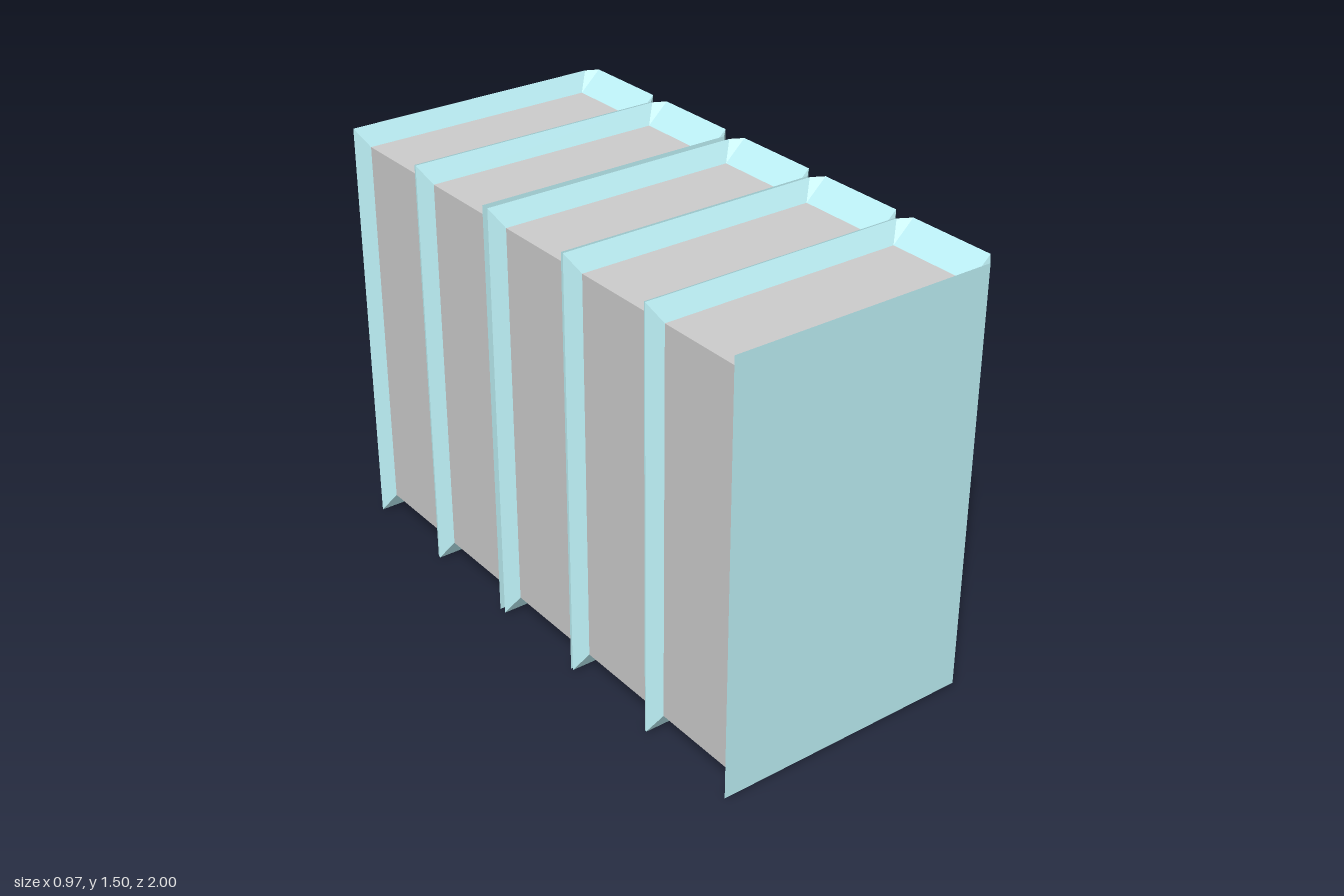
import * as THREE from 'three';

const HEIGHT = 1.495, RECESS = 0.07, HALF = 0.195, BEVEL = 0.035;
const FORE = -0.485, SPINE = 0.485, PAGE_MIN = -0.443, PAGE_MAX = 0.41;

const coverMat = new THREE.MeshStandardMaterial({ color: 0xbdf0f6, flatShading: true });
const pageMat = new THREE.MeshStandardMaterial({ color: 0xcccccc, flatShading: true });

// Hard cover: front board, bevelled spine and back board, with sloping inner lips
function coverGeometry() {
  const inner = HALF - BEVEL;
  // each station: outer x, outer z, inner x, inner z, end trim
  const stations = [
    [FORE, HALF, PAGE_MIN, inner, 0.006],
    [SPINE - BEVEL, HALF, PAGE_MAX, inner, 0.006],
    [SPINE, inner, PAGE_MAX, inner, 0],
    [SPINE, -inner, PAGE_MAX, -inner, 0],
    [SPINE - BEVEL, -HALF, PAGE_MAX, -inner, 0.006],
    [FORE, -HALF, PAGE_MIN, -inner, 0.006],
  ];
  const sections = stations.map(([ox, oz, ix, iz, trim]) => [
    [ix, RECESS, iz],
    [ox, trim, oz],
    [ox, HEIGHT - trim, oz],
    [ix, HEIGHT - RECESS, iz],
  ]);
  const pos = [];
  const quad = (a, b, c, d) => pos.push(...a, ...b, ...c, ...a, ...c, ...d);
  for (let i = 0; i < sections.length - 1; i++) {
    const s = sections[i], t = sections[i + 1];
    for (let j = 0; j < 3; j++) quad(s[j], t[j], t[j + 1], s[j + 1]);
  }
  // lips along the fore edges of both boards
  quad(...sections[0]);
  quad(...sections[sections.length - 1].slice().reverse());

  const geo = new THREE.BufferGeometry();
  geo.setAttribute('position', new THREE.Float32BufferAttribute(pos, 3));
  geo.computeVertexNormals();
  return geo;
}

export function createModel() {
  const row = new THREE.Group();
  row.name = 'bookRow';
  const coverGeo = coverGeometry();
  const pageGeo = new THREE.BoxGeometry(PAGE_MAX - PAGE_MIN, HEIGHT - 2 * RECESS, 2 * (HALF - BEVEL));
  pageGeo.translate((PAGE_MIN + PAGE_MAX) / 2, HEIGHT / 2, 0);

  // Five upright books, spines towards +x
  [0.805, 0.41, 0.01, -0.408, -0.805].forEach((z, i) => {
    const book = new THREE.Group();
    book.name = `book${i + 1}`;
    const cover = new THREE.Mesh(coverGeo, coverMat);
    cover.name = 'cover';
    const pages = new THREE.Mesh(pageGeo, pageMat);
    pages.name = 'pages';
    book.add(cover, pages);
    book.position.z = z;
    row.add(book);
  });
  return row;
}
